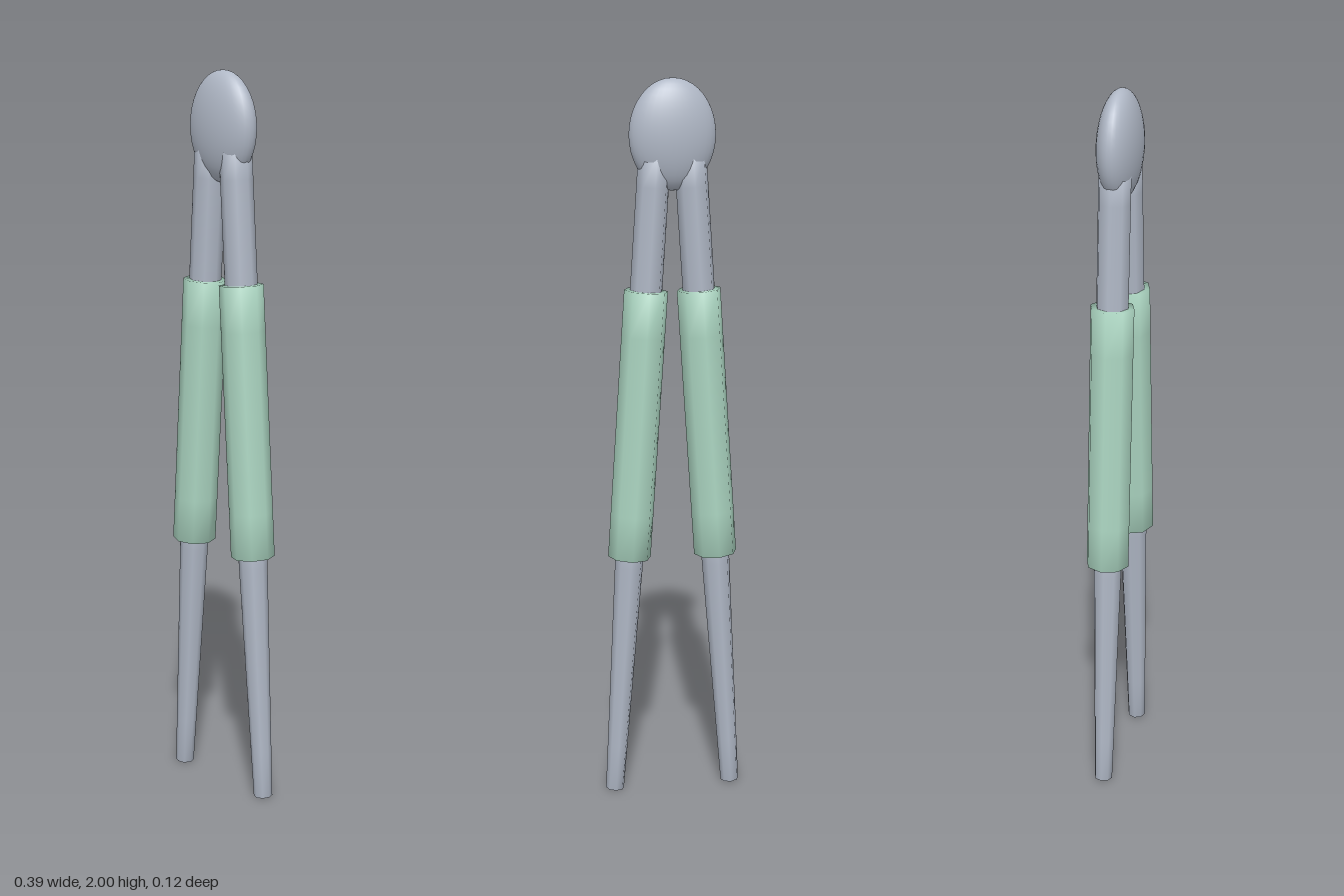
import * as THREE from 'three';
import { mergeVertices } from 'three/addons/utils/BufferGeometryUtils.js';

const steel = new THREE.MeshStandardMaterial({ color: 0xb0b8c6 });
steel.name = 'steel grey';
const mint = new THREE.MeshStandardMaterial({ color: 0xacd6c2 });
mint.name = 'mint grip';

// Eight-sided bar, with normals blended softly over its end caps
function softBar(rTop, rBottom, length) {
  const geo = new THREE.CylinderGeometry(rTop, rBottom, length, 8, 6);
  geo.deleteAttribute('uv');
  geo.deleteAttribute('normal');
  const merged = mergeVertices(geo);
  merged.computeVertexNormals();
  return merged;
}

// Centre line of a leg: splays outward toward the foot
const legX = (y) => 0.168 - 0.0667 * y;

function legPart(name, side, y0, y1, r0, r1, material) {
  const a = new THREE.Vector3(side * legX(y0), y0, 0);
  const b = new THREE.Vector3(side * legX(y1), y1, 0);
  const mesh = new THREE.Mesh(softBar(r1, r0, a.distanceTo(b)), material);
  mesh.position.copy(a).add(b).multiplyScalar(0.5);
  mesh.rotation.z = Math.atan2(a.x - b.x, b.y - a.y);
  mesh.name = name;
  return mesh;
}

export function createModel() {
  const model = new THREE.Group();
  model.name = 'tongs';

  // Flattened egg-shaped hinge head
  const head = new THREE.Mesh(new THREE.SphereGeometry(1, 32, 20), steel);
  head.scale.set(0.117, 0.147, 0.055);
  head.position.y = 1.853;
  head.name = 'head';
  model.add(head);

  // Mirrored legs: shank, padded grip and tapered tip
  for (const side of [1, -1]) {
    const leg = new THREE.Group();
    leg.name = side > 0 ? 'leftLeg' : 'rightLeg';
    leg.add(
      legPart('shank', side, 1.3, 1.8, 0.044, 0.044, steel),
      legPart('grip', side, 0.695, 1.44, 0.06, 0.06, mint),
      legPart('tip', side, 0.002, 0.8, 0.026, 0.042, steel),
    );
    model.add(leg);
  }
  return model;
}
